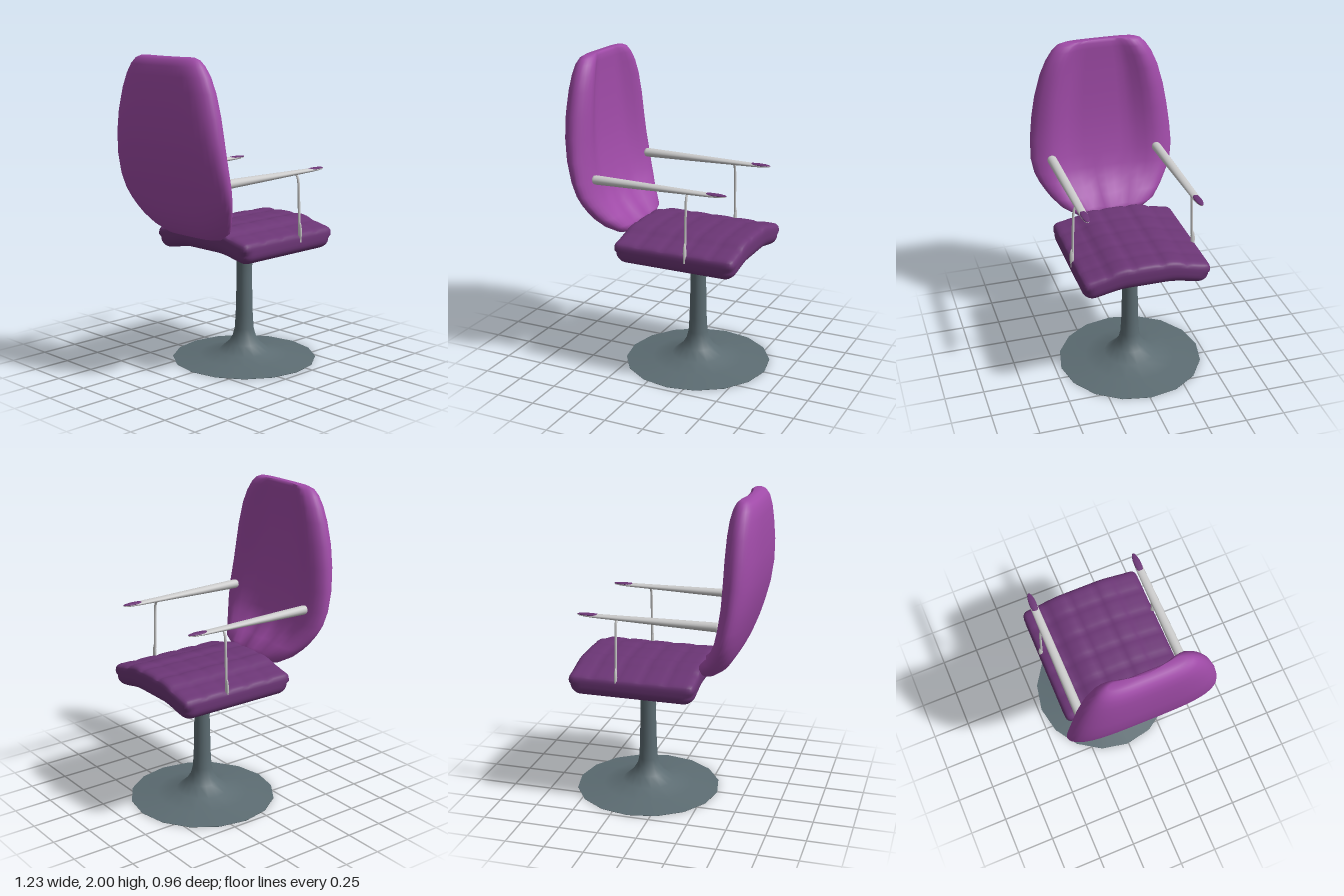
import * as THREE from 'three';
import { mergeVertices } from 'three/addons/utils/BufferGeometryUtils.js';

const paint = (color) => new THREE.MeshStandardMaterial({ color });
const { smoothstep, clamp, lerp } = THREE.MathUtils;

const backCloth = paint(0xa04ba8);
const seatCloth = paint(0x6c3676);
const baseMetal = paint(0x5c6c72);
const grey = paint(0xcccccc);

function add(parent, name, geometry, material) {
  const mesh = new THREE.Mesh(geometry, material);
  mesh.name = name;
  parent.add(mesh);
  return mesh;
}

// Move every vertex by a rule, then smooth the normals
function deform(geometry, rule) {
  geometry.deleteAttribute('uv');
  geometry.deleteAttribute('normal');
  const g = mergeVertices(geometry);
  const pos = g.attributes.position;
  const v = new THREE.Vector3();
  for (let i = 0; i < pos.count; i++) {
    rule(v.fromBufferAttribute(pos, i));
    pos.setXYZ(i, v.x, v.y, v.z);
  }
  g.computeVertexNormals();
  return g;
}

// Cushion with rounded edges, arched across its width, with tufting grooves on top
function seatGeometry() {
  const half = new THREE.Vector3(0.405, 0.08, 0.405);
  const inner = new THREE.Vector3();
  const groove = (a, lines) => Math.max(...lines.map((l) => Math.exp(-(((a - l) / 0.022) ** 2))));
  return deform(new THREE.BoxGeometry(0.81, 0.16, 0.81, 36, 8, 36), (p) => {
    const top = p.y / half.y;
    const r = p.y > 0 ? 0.04 : 0.075;
    for (const k of ['x', 'y', 'z']) inner[k] = clamp(p[k], r - half[k], half[k] - r);
    p.sub(inner).setLength(r).add(inner);
    const arch = smoothstep(Math.abs(p.z), 0.12, 0.4);
    if (top > 0.9) {
      const fade = 1 - smoothstep(Math.abs(p.x), 0.34, 0.4);
      p.y -= 0.009 * groove(p.z, [-0.25, -0.09, 0.09, 0.25]);
      p.y -= 0.006 * fade * groove(p.x, [-0.23, -0.07, 0.09, 0.25]);
    }
    p.y -= lerp(0.04, 0.055, (top + 1) / 2) * arch;
  });
}

// Shell lofted from horizontal slices: height, back, side rim, front centre, half width
function backrestGeometry() {
  const rows = [
    [0.875, -0.29, -0.29, -0.29, 0],
    [0.877, -0.32, -0.26, -0.26, 0.15],
    [0.89, -0.36, -0.24, -0.24, 0.23],
    [0.94, -0.42, -0.235, -0.25, 0.315],
    [1.0, -0.46, -0.28, -0.31, 0.375],
    [1.05, -0.485, -0.31, -0.35, 0.41],
    [1.1, -0.505, -0.335, -0.385, 0.44],
    [1.16, -0.527, -0.36, -0.41, 0.465],
    [1.25, -0.555, -0.38, -0.435, 0.48],
    [1.38, -0.59, -0.395, -0.46, 0.474],
    [1.52, -0.612, -0.4, -0.477, 0.456],
    [1.66, -0.617, -0.403, -0.485, 0.43],
    [1.8, -0.61, -0.41, -0.49, 0.39],
    [1.89, -0.602, -0.42, -0.49, 0.35],
    [1.95, -0.59, -0.435, -0.49, 0.31],
    [1.985, -0.57, -0.455, -0.49, 0.275],
    [2.0, -0.545, -0.478, -0.5, 0.235],
    [2.0, -0.515, -0.515, -0.515, 0],
  ];
  const n = 48, positions = [], index = [];
  rows.forEach(([y, back, rim, centre, w], i) => {
    const mid = (back + rim) / 2;
    // Tufted lobes low on the front
    const tuft = w ? 0.014 * smoothstep(y, 0.88, 0.95) * (1 - smoothstep(y, 1.02, 1.2)) : 0;
    for (let j = 0; j < n; j++) {
      const t = (j / n) * Math.PI * 2;
      const s = Math.sin(t), front = Math.cos(t) > 0;
      const z = w * s;
      let x = mid + (front ? rim - mid : back - mid) * Math.sqrt(Math.max(0, 1 - s ** 4));
      if (front) {
        const dish = 1 - smoothstep(Math.abs(s), 0.35, 0.82);
        x += dish * (centre - rim + tuft * Math.cos((z * Math.PI * 2) / 0.18));
      }
      positions.push(x, y, z);
      if (i < rows.length - 1) {
        const a = i * n + j, b = i * n + ((j + 1) % n);
        index.push(a, a + n, b, b, a + n, b + n);
      }
    }
  });
  const g = new THREE.BufferGeometry();
  g.setAttribute('position', new THREE.Float32BufferAttribute(positions, 3));
  g.setIndex(index);
  g.computeVertexNormals();
  return g;
}

// Tapered bar along x that flattens toward its front tip
function armGeometry() {
  const profile = [[0, -0.41], [0.026, -0.41], [0.031, -0.39], [0.03, -0.1], [0.027, 0.2],
    [0.025, 0.38], [0.021, 0.44], [0.012, 0.475], [0, 0.488]];
  const g = new THREE.LatheGeometry(profile.map(([r, l]) => new THREE.Vector2(r, l)), 16);
  g.rotateZ(-Math.PI / 2);
  return deform(g, (p) => {
    const t = (p.x + 0.41) / 0.9;
    p.y = p.y * lerp(0.95, 0.4, t) + lerp(1.256, 1.263, t);
  });
}

function createArm(side) {
  const arm = new THREE.Group();
  arm.name = side > 0 ? 'armrestNear' : 'armrestFar';
  const z = side * 0.355;
  add(arm, 'armBar', armGeometry(), grey).position.z = z;

  // Padded tip
  const pad = add(arm, 'armPad', new THREE.SphereGeometry(1, 20, 10), seatCloth);
  pad.scale.set(0.078, 0.008, 0.023);
  pad.position.set(0.41, 1.268, z);

  // Thin post bending down to the side of the seat
  const path = new THREE.CatmullRomCurve3(
    [[1.255, 0.355], [1.235, 0.37], [1.2, 0.378], [0.95, 0.388], [0.82, 0.398]]
      .map(([y, d]) => new THREE.Vector3(0.235, y, side * d)));
  add(arm, 'armPost', new THREE.TubeGeometry(path, 20, 0.008, 8), grey);
  const foot = add(arm, 'postFoot', new THREE.SphereGeometry(1, 10, 10), grey);
  foot.scale.set(0.01, 0.065, 0.015);
  foot.position.set(0.235, 0.885, side * 0.395);
  return arm;
}

export function createModel() {
  const chair = new THREE.Group();
  chair.name = 'swivelArmchair';

  // Trumpet pedestal
  const profile = [[0, 0], [0.47, 0], [0.47, 0.003], [0.3, 0.021], [0.17, 0.045], [0.105, 0.1],
    [0.075, 0.15], [0.062, 0.2], [0.056, 0.3], [0.05, 0.55], [0.053, 0.68], [0.063, 0.73], [0.078, 0.785], [0, 0.785]];
  const pedestal = add(chair, 'pedestal',
    new THREE.LatheGeometry(profile.map(([r, y]) => new THREE.Vector2(r, y)), 16), baseMetal);
  pedestal.position.set(0.145, 0, -0.008);

  add(chair, 'seat', seatGeometry(), seatCloth).position.set(0.145, 0.856, -0.004);
  add(chair, 'backrest', backrestGeometry(), backCloth);
  for (const side of [1, -1]) chair.add(createArm(side));
  return chair;
}
